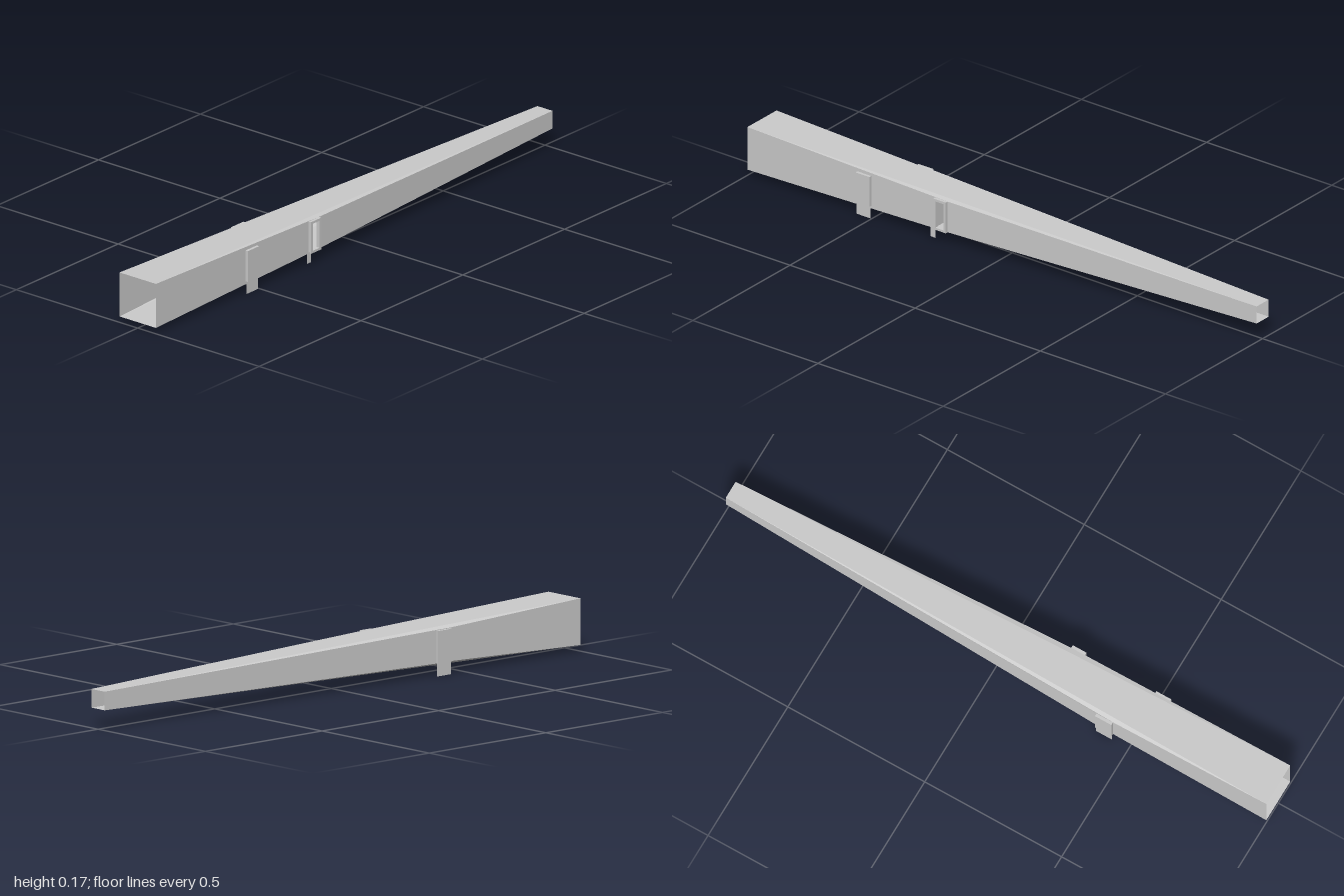
import * as THREE from 'three';

const material = new THREE.MeshStandardMaterial({ color: 0xcccccc, side: THREE.DoubleSide, flatShading: true });

// Convex polygons, each a list of [x, y, z] corners, fanned into triangles
function panel(name, polygons) {
  const pos = [];
  for (const p of polygons)
    for (let i = 1; i < p.length - 1; i++) pos.push(...p[0], ...p[i], ...p[i + 1]);
  const geo = new THREE.BufferGeometry();
  geo.setAttribute('position', new THREE.Float32BufferAttribute(pos, 3));
  geo.computeVertexNormals();
  const mesh = new THREE.Mesh(geo, material);
  mesh.name = name;
  return mesh;
}

// Box given by its extents on each axis
function box(name, [x0, x1], [y0, y1], [z0, z1]) {
  const mesh = new THREE.Mesh(new THREE.BoxGeometry(x1 - x0, y1 - y0, z1 - z0), material);
  mesh.name = name;
  mesh.position.set((x0 + x1) / 2, (y0 + y1) / 2, (z0 + z1) / 2);
  return mesh;
}

// Thin vertical tab in the x-y plane
function tab(x0, x1, y0, y1, z) {
  return panel('tab', [[[x0, y0, z], [x1, y0, z], [x1, y1, z], [x0, y1, z]]]);
}

// Square section of the tube at each end
const wide = { x: -1, y: [0.02, 0.17], z: 0.075 };
const narrow = { x: 1, y: [0.065, 0.125], z: 0.031 };
const corner = (end, top, s) => [end.x, end.y[top], s * end.z];

// Side wall: straight as far as the bracket, then tapering to the narrow end
function sideWall(name, s, x0, x1, open) {
  const z = s * 0.075;
  const lo = [[x0, 0.041, z], [x1, 0.041, z]];
  const hi = [[x0, 0.149, z], [x1, 0.149, z]];
  const faces = [
    [corner(wide, 0, s), lo[0], hi[0], corner(wide, 1, s)],
    [lo[1], corner(narrow, 0, s), corner(narrow, 1, s), hi[1]],
    // slivers joining the wall to the floor and roof
    [corner(wide, 1, s), hi[0], hi[1], corner(narrow, 1, s)],
    [corner(wide, 0, s), corner(narrow, 0, s), lo[1], lo[0]],
  ];
  if (!open) faces.push([lo[0], lo[1], hi[1], hi[0]]);
  if (s < 0) faces.forEach(f => f.reverse());
  return panel(name, faces);
}

export function createModel() {
  const model = new THREE.Group();

  // Hollow tapered tube, open at both ends
  const tube = new THREE.Group();
  tube.name = 'tube';
  tube.add(
    panel('roof', [[corner(wide, 1, 1), corner(narrow, 1, 1), corner(narrow, 1, -1), corner(wide, 1, -1)]]),
    panel('floor', [[corner(wide, 0, -1), corner(narrow, 0, -1), corner(narrow, 0, 1), corner(wide, 0, 1)]]),
    sideWall('frontWall', 1, -0.25, -0.2, true),
    sideWall('backWall', -1, -0.44, -0.38, false),
  );
  model.add(tube);

  // Closed hatches with a hanging tab
  for (const [name, s, x0, x1] of [['frontHatch', 1, -0.56, -0.505], ['backHatch', -1, -0.44, -0.38]]) {
    const hatch = new THREE.Group();
    hatch.name = name;
    const z = s > 0 ? [0.073, 0.085] : [-0.085, -0.073];
    hatch.add(box('cover', [x0, x1], [0.042, 0.147], z), tab(x0, x1, 0, 0.042, s * 0.08));
    model.add(hatch);
  }

  // Open hatch: a frame round the opening and a door swung inward
  const open = new THREE.Group();
  open.name = 'openHatch';
  const depth = [0.073, 0.085];
  for (const x of [-0.25, -0.209]) open.add(box('framePost', [x, x + 0.009], [0.041, 0.149], depth));
  for (const y of [0.041, 0.141]) open.add(box('frameRail', [-0.241, -0.209], [y, y + 0.008], depth));
  open.add(box('door', [-0.25, -0.246], [0.046, 0.143], [0.01, 0.073]));
  open.add(tab(-0.265, -0.245, 0.01, 0.046, 0.08));
  model.add(open);

  return model;
}
